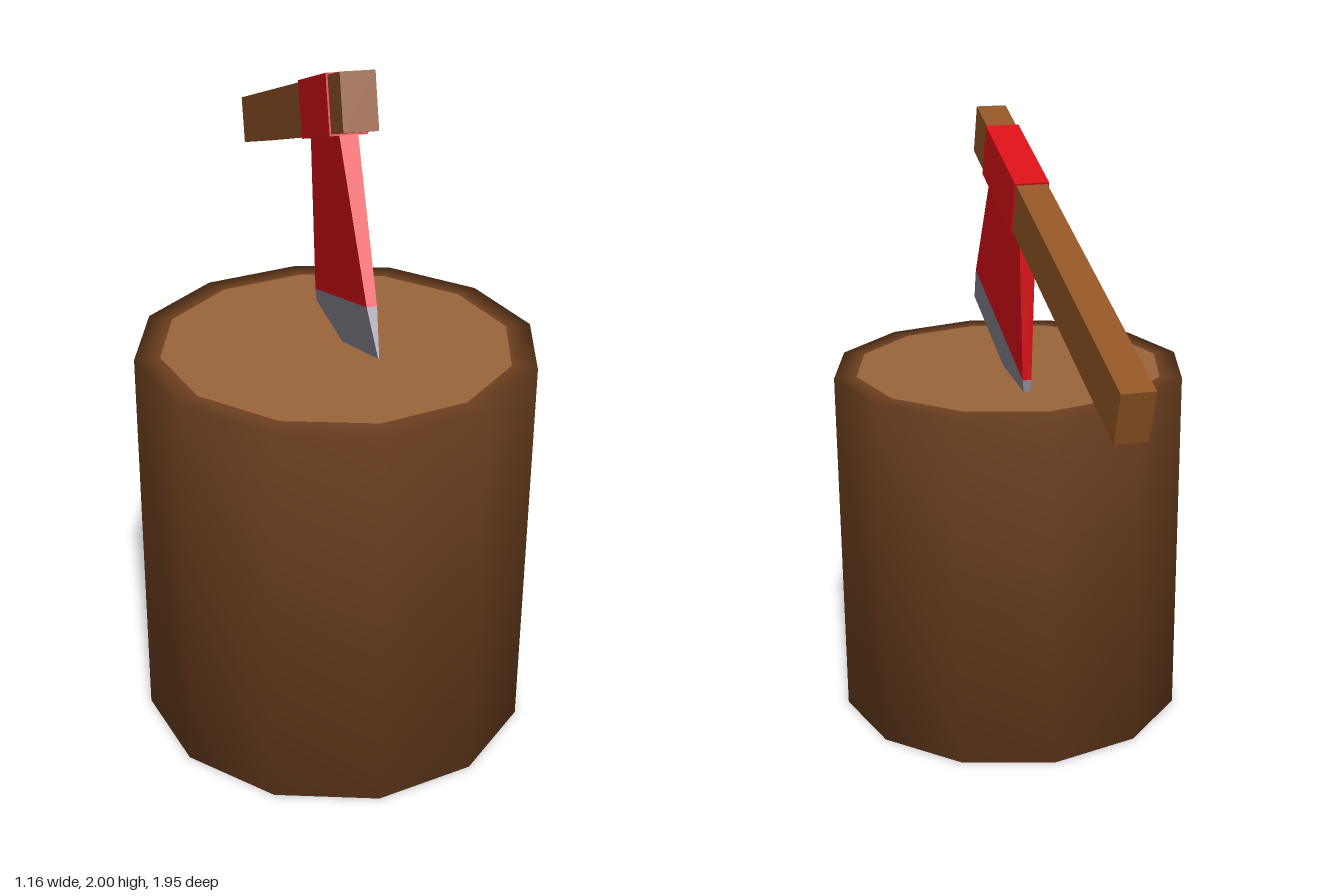
import * as THREE from 'three';

const mat = (color) => new THREE.MeshStandardMaterial({ color });

// Box whose top and bottom are separate rectangles: [y, back z, front z, width]
function taperedBox(top, bottom) {
  const geo = new THREE.BoxGeometry(1, 1, 1);
  const p = geo.attributes.position;
  for (let i = 0; i < p.count; i++) {
    const [y, back, front, width] = p.getY(i) > 0 ? top : bottom;
    p.setXYZ(i, Math.sign(p.getX(i)) * width / 2, y, p.getZ(i) > 0 ? front : back);
  }
  geo.computeVertexNormals();
  return geo;
}

function add(parent, name, geometry, material) {
  const mesh = new THREE.Mesh(geometry, material);
  mesh.name = name;
  parent.add(mesh);
  return mesh;
}

export function createModel() {
  const model = new THREE.Group();
  model.name = 'axeInStump';

  // Stump: twelve-sided bark shell with a smooth rim, and a paler cut face
  const stump = new THREE.Group();
  stump.name = 'stump';
  stump.position.z = 0.395;
  const height = 1.17, radius = 0.58, cutRadius = 0.507;
  const profile = [[0, 0], [radius, 0], [radius, height], [cutRadius, height]]
    .map(([x, y]) => new THREE.Vector2(x, y));
  add(stump, 'bark', new THREE.LatheGeometry(profile, 12), mat(0x6f4120));
  const cut = add(stump, 'cutFace', new THREE.CircleGeometry(cutRadius, 12), mat(0x9b653a));
  cut.rotation.x = -Math.PI / 2;
  cut.position.y = height;
  model.add(stump);

  // Axe: modelled with a level handle along z, then tilted into the stump
  const axe = new THREE.Group();
  axe.name = 'axe';
  axe.position.set(0.0175, 1.6725, -0.1985);
  axe.rotation.x = -0.323;
  const red = mat(0xd81016);
  add(axe, 'handle', new THREE.BoxGeometry(0.095, 0.157, 1.587), mat(0x915525));
  add(axe, 'collar', new THREE.BoxGeometry(0.105, 0.168, 0.378), red).position.z = 0.457;

  // Head narrows to the steel, which narrows to the cutting edge
  const neck = [-0.082, 0.268, 0.646, 0.052];
  const joint = [-0.533, 0.13, 0.79, 0.028];
  const edge = [-0.665, 0.087, 0.83, 0.003];
  add(axe, 'head', taperedBox(neck, joint), red);
  add(axe, 'blade', taperedBox(joint, edge), mat(0x8a8895));
  model.add(axe);

  return model;
}
